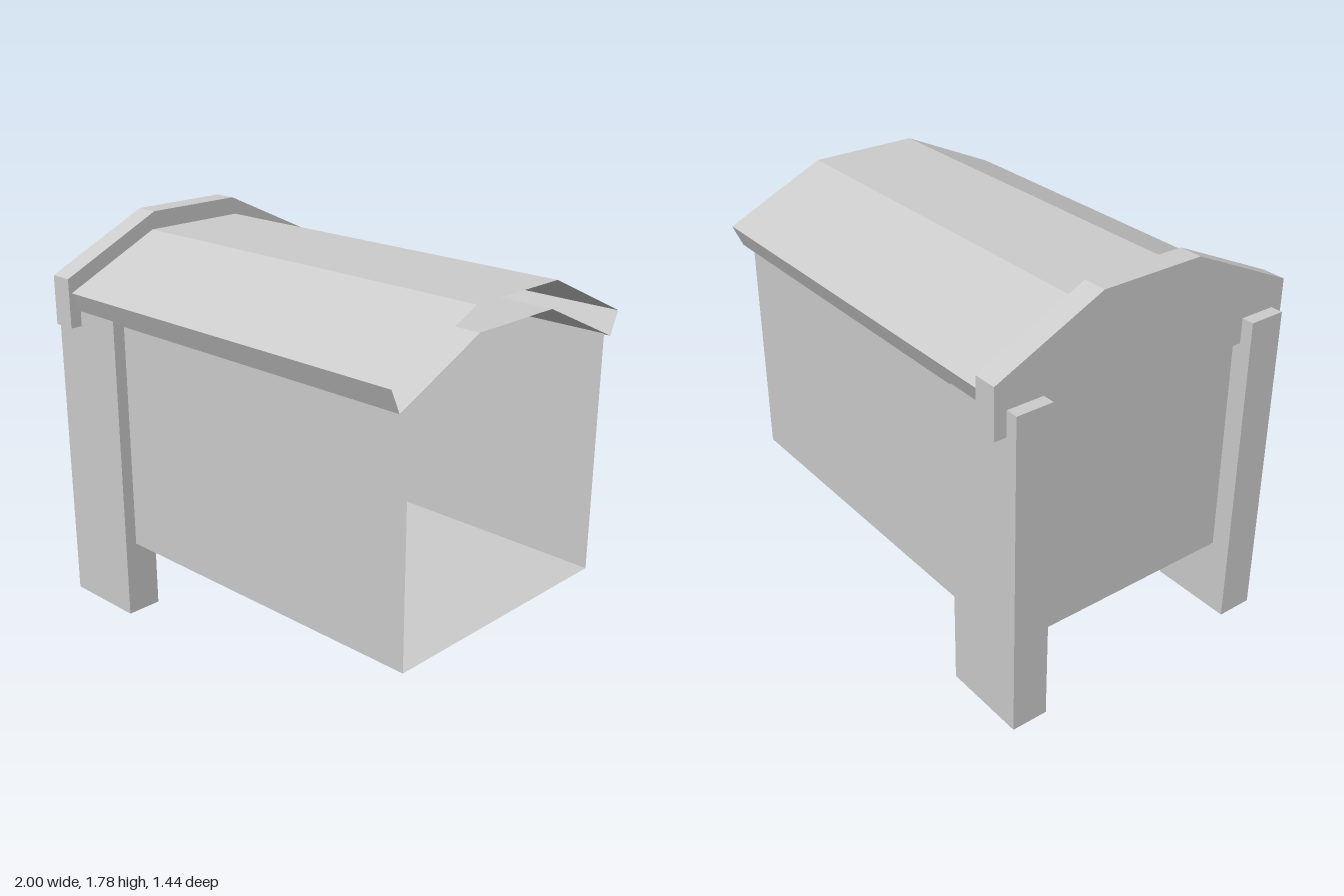
import * as THREE from 'three';

export function createModel() {
  const group = new THREE.Group();
  const solid = new THREE.MeshStandardMaterial({ color: 0xcccccc, flatShading: true });
  const thin = new THREE.MeshStandardMaterial({ color: 0xcccccc, flatShading: true, side: THREE.DoubleSide });

  function add(name, geometry, material = solid) {
    const mesh = new THREE.Mesh(geometry, material);
    mesh.name = name;
    group.add(mesh);
    return mesh;
  }

  // Open sheet: a [z, y] profile swept along x from x0 to x1
  function sheet(profile, x0, x1) {
    const pos = [];
    for (let i = 0; i < profile.length - 1; i++) {
      const [za, ya] = profile[i], [zb, yb] = profile[i + 1];
      pos.push(x0, ya, za, x1, ya, za, x1, yb, zb);
      pos.push(x0, ya, za, x1, yb, zb, x0, yb, zb);
    }
    const geo = new THREE.BufferGeometry();
    geo.setAttribute('position', new THREE.Float32BufferAttribute(pos, 3));
    geo.computeVertexNormals();
    return geo;
  }

  const wallZ = 0.61, wallTop = 1.41, floorY = 0.34, endX = -0.91;

  // Thin box body, open at the +x end
  add('bodyWallsAndFloor', sheet(
    [[wallZ, wallTop], [wallZ, floorY], [-wallZ, floorY], [-wallZ, wallTop]], endX, 1), thin);
  const end = add('endWall', new THREE.PlaneGeometry(2 * wallZ, wallTop - floorY), thin);
  end.rotation.y = -Math.PI / 2;
  end.position.set(endX, (wallTop + floorY) / 2, 0);

  // Hollow roof: outer skin, slanted eaves and inner lining, open at the end
  add('roof', sheet([
    [0.705, 1.49], [0.25, 1.7], [-0.25, 1.7], [-0.705, 1.49],
    [-0.66, 1.39], [-0.225, 1.59], [0.225, 1.59], [0.66, 1.39], [0.705, 1.49],
  ], -0.89, 1), thin);

  // Solid gable board over the closed end
  const gable = new THREE.Shape([
    [-0.72, 1.335], [0.72, 1.335], [0.72, 1.555], [0.235, 1.78], [-0.235, 1.78], [-0.72, 1.555],
  ].map(([z, y]) => new THREE.Vector2(z, y)));
  const board = add('gableBoard', new THREE.ExtrudeGeometry(gable, { depth: 0.105, bevelEnabled: false }));
  board.rotation.y = Math.PI / 2;
  board.position.x = -0.945;

  // Pair of legs
  for (const [name, side] of [['frontLeg', 1], ['backLeg', -1]]) {
    add(name, new THREE.BoxGeometry(0.39, 1.445, 0.165)).position.set(-0.805, 0.7225, side * 0.583);
  }

  return group;
}
